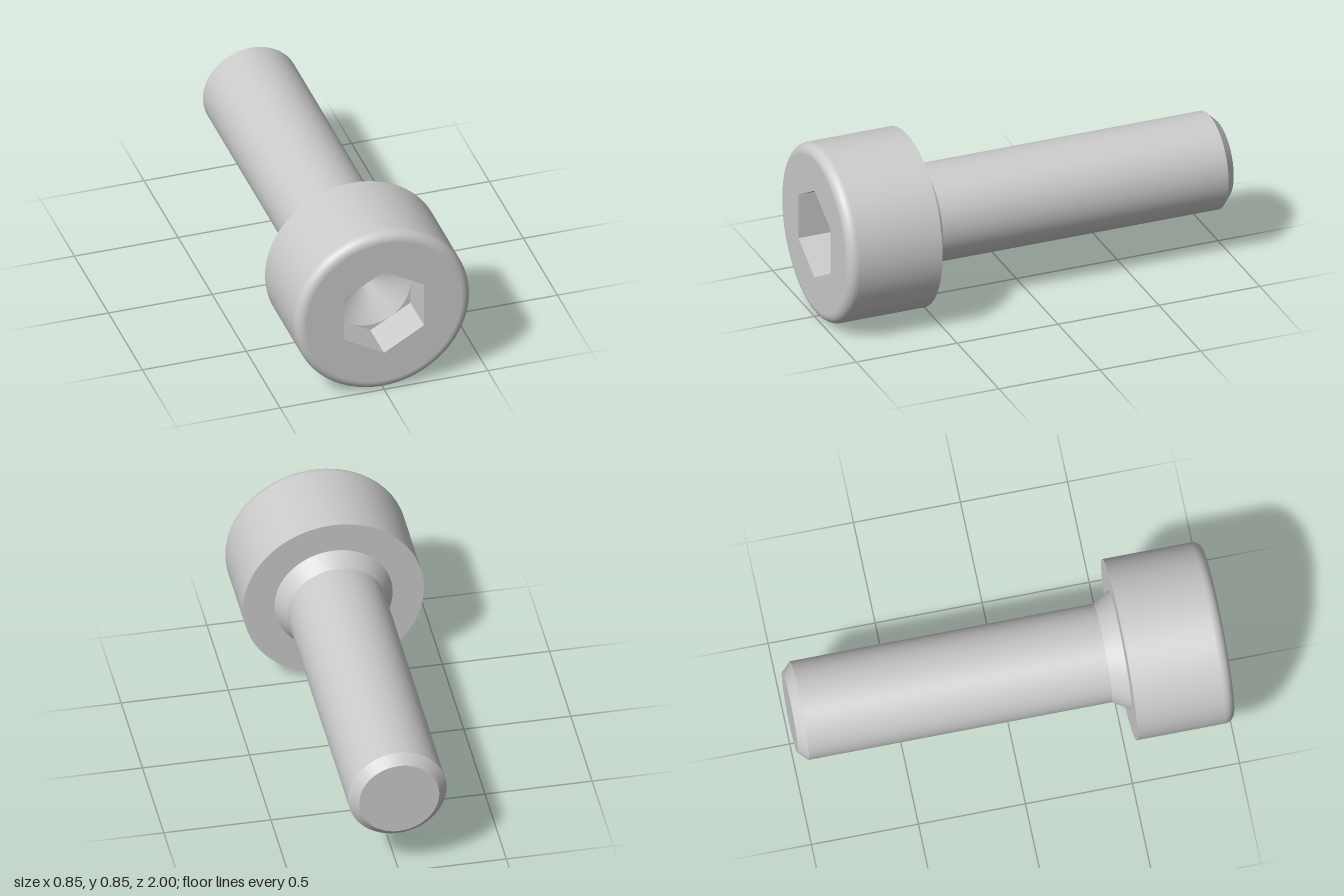
import * as THREE from 'three';

const SEGMENTS = 96;
const HEAD_R = 0.4225, SHANK_R = 0.23, NECK_R = 0.276, FILLET = 0.046;
const HEX_R = 0.223, HEX_IN = HEX_R * Math.cos(Math.PI / 6);
const HEAD_BACK = 0.54, SOCKET_Z = 0.8;

export function createModel() {
  const material = new THREE.MeshStandardMaterial({ color: 0xcccccc });
  const group = new THREE.Group();
  group.name = 'socketHeadScrew';

  const add = (name, geometry) => {
    const mesh = new THREE.Mesh(geometry, material);
    mesh.name = name;
    mesh.position.y = HEAD_R;
    group.add(mesh);
  };
  // Surface turned about the z axis from [radius, z] points; smooth along the profile
  const turned = (name, points) => {
    const profile = points.map(([r, z]) => new THREE.Vector2(r, z));
    add(name, new THREE.LatheGeometry(profile, SEGMENTS).rotateX(Math.PI / 2));
  };
  // Corners on a hexagon with points at top and bottom
  const hexCorners = () => Array.from({ length: 6 }, (_, i) => {
    const a = Math.PI / 2 + i * Math.PI / 3;
    return new THREE.Vector2(HEX_R * Math.cos(a), HEX_R * Math.sin(a));
  });

  // Shank with chamfered tip and flared neck
  turned('tipFace', [[0, -1], [0.187, -1]]);
  turned('tipChamfer', [[0.187, -1], [SHANK_R, -0.957]]);
  turned('shank', [[SHANK_R, -0.957], [SHANK_R, 0.46]]);
  turned('neck', [[SHANK_R, 0.46], [NECK_R, HEAD_BACK]]);

  // Head: flat underside, straight side, rounded front rim
  turned('headUnderside', [[NECK_R, HEAD_BACK], [HEAD_R, HEAD_BACK]]);
  turned('headSide', [[HEAD_R, HEAD_BACK], [HEAD_R, 1 - FILLET]]);
  const rim = Array.from({ length: 9 }, (_, i) => {
    const a = i / 8 * Math.PI / 2;
    return [HEAD_R - FILLET + FILLET * Math.cos(a), 1 - FILLET + FILLET * Math.sin(a)];
  });
  turned('headRim', rim);

  // Front face with hexagonal opening
  const face = new THREE.Shape().absarc(0, 0, HEAD_R - FILLET, 0, Math.PI * 2);
  face.holes.push(new THREE.Path(hexCorners()));
  add('headFace', new THREE.ShapeGeometry(face, SEGMENTS).translate(0, 0, 1));

  // Socket walls, turned inside out so they face the axis
  const walls = new THREE.CylinderGeometry(HEX_R, HEX_R, 1 - SOCKET_Z, 6, 1, true)
    .rotateX(Math.PI / 2).translate(0, 0, (1 + SOCKET_Z) / 2).scale(-1, 1, 1).toNonIndexed();
  // Mirroring reverses the winding, so recomputed normals point inward
  walls.computeVertexNormals();
  add('socketWalls', walls);

  // Socket floor corners and drilled cone
  const floor = new THREE.Shape(hexCorners());
  floor.holes.push(new THREE.Path().absarc(0, 0, HEX_IN - 0.0005, 0, Math.PI * 2, true));
  add('socketFloor', new THREE.ShapeGeometry(floor, SEGMENTS).translate(0, 0, SOCKET_Z));
  turned('socketCone', [[HEX_IN, SOCKET_Z], [0, SOCKET_Z - HEX_IN / Math.sqrt(3)]]);

  return group;
}
